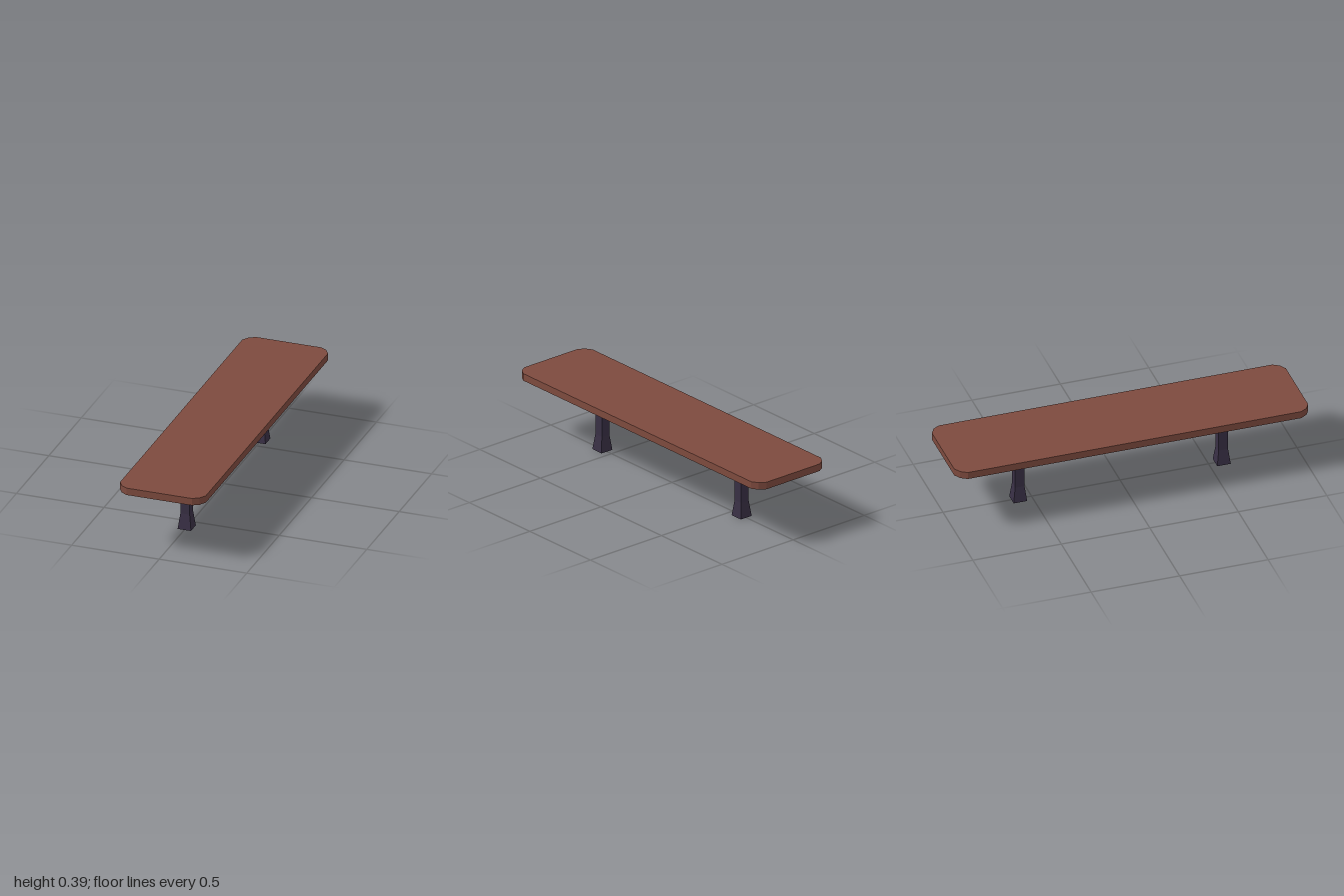
import * as THREE from 'three';

export function createModel() {
  const model = new THREE.Group();
  model.name = 'bench';
  const wood = new THREE.MeshStandardMaterial({ color: 0x7d4a3e, flatShading: true });
  wood.name = 'brown wood';
  const metal = new THREE.MeshStandardMaterial({ color: 0x382f44, flatShading: true });
  metal.name = 'dark metal';

  // Seat: long board with two-facet rounded corners
  const corner = [[0.245, 0.942], [0.223, 0.978], [0.187, 1]];
  const mirrored = (sx, sz) => corner.map(([x, z]) => new THREE.Vector2(x * sx, z * sz));
  const outline = new THREE.Shape([
    ...mirrored(1, 1), ...mirrored(-1, 1).reverse(),
    ...mirrored(-1, -1), ...mirrored(1, -1).reverse(),
  ]);
  const board = new THREE.ExtrudeGeometry(outline, { depth: 0.041, bevelEnabled: false });
  board.rotateX(-Math.PI / 2);
  const seat = new THREE.Mesh(board, wood);
  seat.name = 'seat';
  seat.position.y = 0.35;
  model.add(seat);

  // Legs: square posts flaring out at the foot (profile of half-widths and heights)
  const profile = [[0, 0], [0.038, 0], [0.0265, 0.09], [0.0265, 0.35], [0, 0.35]]
    .map(([half, y]) => new THREE.Vector2(half * Math.SQRT2, y));
  const post = new THREE.LatheGeometry(profile, 4, Math.PI / 4);
  for (const [name, z] of [['frontLeg', 0.575], ['backLeg', -0.575]]) {
    const leg = new THREE.Mesh(post, metal);
    leg.name = name;
    leg.position.z = z;
    model.add(leg);
  }
  return model;
}
